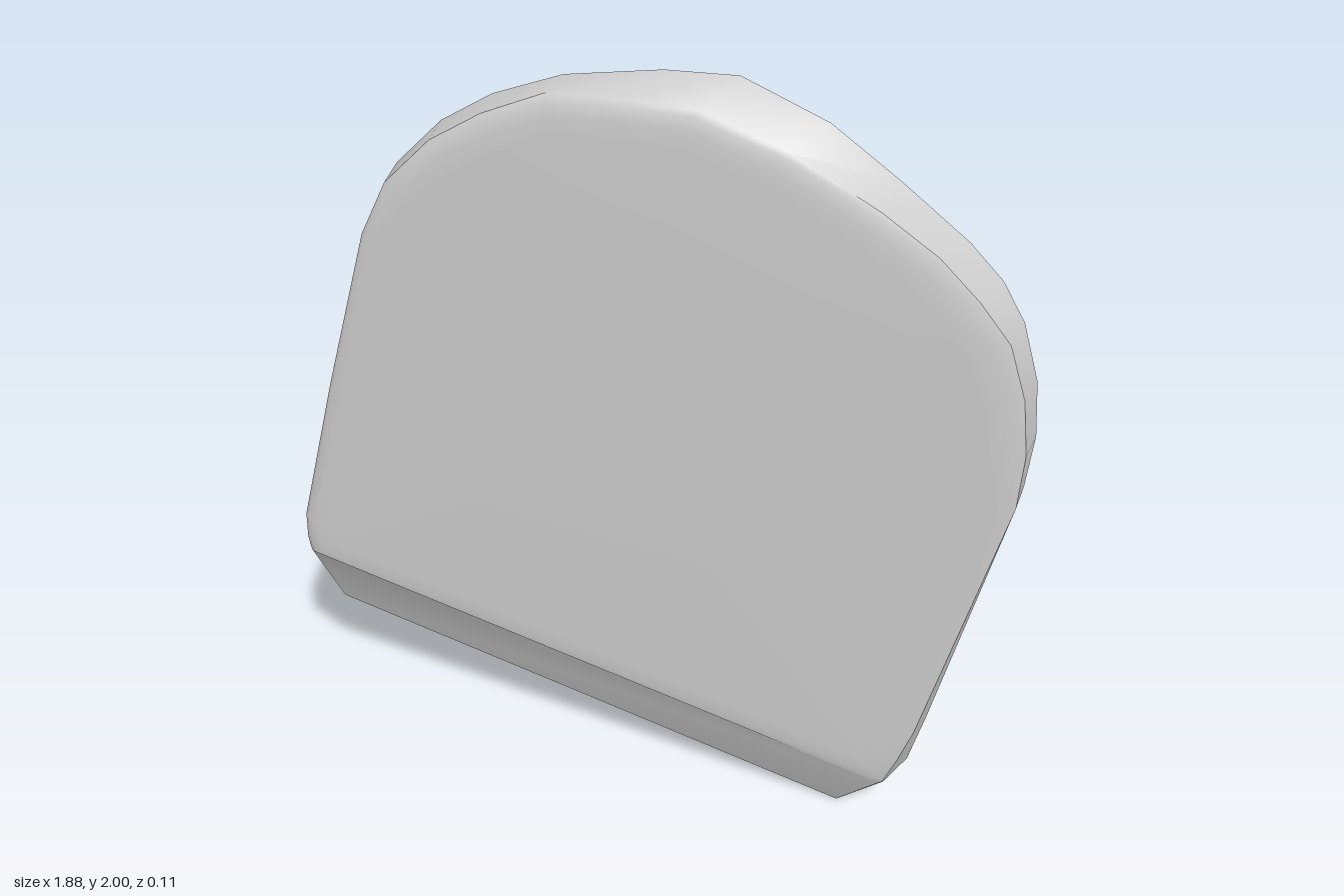
import * as THREE from 'three';
import { toCreasedNormals } from 'three/addons/utils/BufferGeometryUtils.js';

// Outline, anticlockwise seen from the front: [back x, back y, front rim x, front rim y]
const outline = [
  [-0.87, 0.345, -0.90, 0.56], [0.56, 0, 0.665, 0.18], [0.68, 0.10, 0.69, 0.19],
  [0.735, 0.20, 0.72, 0.27], [0.77, 0.35, 0.755, 0.38], [0.925, 1.10, 0.92, 1.10],
  [0.935, 1.24, 0.925, 1.24], [0.92, 1.38, 0.905, 1.38], [0.875, 1.52, 0.86, 1.51],
  [0.82, 1.61, 0.785, 1.60], [0.74, 1.69, 0.69, 1.69], [0.58, 1.81, 0.56, 1.775],
  [0.42, 1.92, 0.36, 1.88], [0.22, 2.0, 0.15, 1.95], [0.05, 1.993, 0.0, 1.952],
  [-0.18, 1.955, -0.19, 1.945], [-0.35, 1.89, -0.34, 1.88], [-0.48, 1.81, -0.47, 1.80],
  [-0.60, 1.69, -0.59, 1.68], [-0.67, 1.55, -0.66, 1.54], [-0.80, 1.10, -0.79, 1.10],
  [-0.93, 0.68, -0.905, 0.68], [-0.94, 0.58, -0.908, 0.61], [-0.925, 0.49, -0.905, 0.58],
];
const CX = 0, CY = 1.08;

// Front rounding: [scale towards the centre, depth at x = 0]
const rounding = [[1, 0.033], [0.985, 0.042], [0.95, 0.048], [0.9, 0.05]];

function slabGeometry() {
  const n = outline.length;
  const pos = [], index = [];

  // Flat back ring, then the rim and its rounded inset rings; the face tilts slightly
  outline.forEach(([x, y]) => pos.push(x, y, -0.06));
  rounding.forEach(([s, z], r) => outline.forEach(([, , x, y]) => {
    const px = CX + (x - CX) * s;
    pos.push(px, CY + (y - CY) * s, z - (r ? 0.005 * px : 0));
  }));
  const backCentre = pos.length / 3, frontCentre = backCentre + 1;
  pos.push(CX, CY, -0.06, CX, CY, 0.05);

  // Walls between neighbouring rings, and a fan on each face
  const last = rounding.length * n;
  for (let i = 0; i < n; i++) {
    const j = (i + 1) % n;
    for (let r = 0; r < last; r += n) {
      index.push(r + i, r + j, r + n + j, r + i, r + n + j, r + n + i);
    }
    index.push(backCentre, j, i, frontCentre, last + i, last + j);
  }

  const geometry = new THREE.BufferGeometry();
  geometry.setAttribute('position', new THREE.Float32BufferAttribute(pos, 3));
  geometry.setIndex(index);
  return toCreasedNormals(geometry, 0.65);
}

export function createModel() {
  const group = new THREE.Group();
  group.name = 'bevelledPlate';
  const slab = new THREE.Mesh(slabGeometry(), new THREE.MeshStandardMaterial({ color: 0xcccccc }));
  slab.name = 'plate';
  group.add(slab);
  return group;
}
